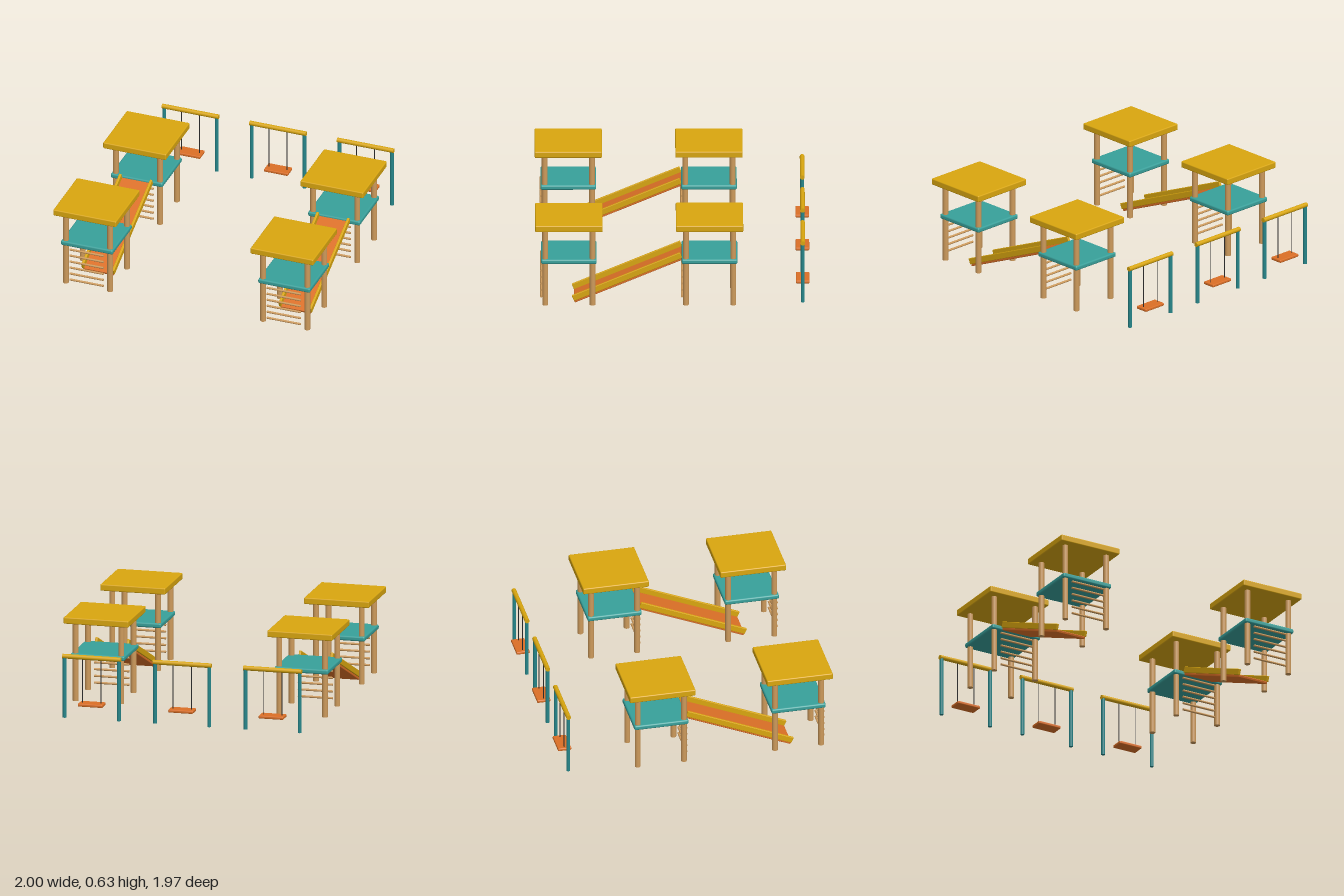
import * as THREE from 'three';
import { RoundedBoxGeometry } from 'three/addons/geometries/RoundedBoxGeometry.js';

const mat = (name, color) => {
  const m = new THREE.MeshStandardMaterial({ color });
  m.name = name;
  return m;
};

export function createModel() {
  const yellow = mat('yellow', 0xd9a60f);
  const teal = mat('teal', 0x38a09a);
  const frameTeal = mat('frame teal', 0x26868a);
  const orange = mat('orange', 0xdb6f26);
  const wood = mat('wood', 0xcd9a5b);
  const rope = mat('rope', 0x2b2b2b);

  const add = (parent, name, geometry, material, x, y, z) => {
    const mesh = new THREE.Mesh(geometry, material);
    mesh.name = name;
    mesh.position.set(x, y, z);
    parent.add(mesh);
    return mesh;
  };
  const box = (w, h, d, r) => new RoundedBoxGeometry(w, h, d, 3, r);
  const rod = (r, length) => new THREE.CylinderGeometry(r, r, length, 20);
  const group = (parent, name, x, y, z) => {
    const g = new THREE.Group();
    g.name = name;
    g.position.set(x, y, z);
    parent.add(g);
    return g;
  };

  const model = new THREE.Group();
  model.name = 'playground';

  // Tower: roof, deck, four posts and a ladder on the front
  const addTower = (x, z) => {
    const tower = group(model, 'tower', x, 0, z);
    add(tower, 'roof', box(0.484, 0.048, 0.484, 0.008), yellow, 0, 0.615, 0);
    add(tower, 'deck', box(0.4, 0.036, 0.4, 0.012), teal, 0, 0.347, 0);
    for (const px of [-0.17, 0.17]) {
      for (const pz of [-0.17, 0.17]) {
        add(tower, 'post', rod(0.021, 0.59), wood, px, 0.305, pz);
      }
    }
    for (let i = 0; i < 6; i++) {
      const rung = add(tower, 'ladderRung', rod(0.008, 0.26), wood, 0, 0.057 + i * 0.05, 0.198);
      rung.rotation.z = Math.PI / 2;
    }
  };

  // Slide: tilted bed with a rail along each side
  const addSlide = (x) => {
    const slide = group(model, 'slide', x, 0.179, 0.315);
    slide.rotation.x = THREE.MathUtils.degToRad(23);
    add(slide, 'slideBed', box(0.235, 0.02, 0.844, 0.005), orange, 0, 0, 0);
    for (const side of [-1, 1]) {
      add(slide, 'slideRail', box(0.018, 0.044, 0.844, 0.004), yellow, side * 0.118, 0.029, 0);
    }
  };

  // Swing: two posts, top beam, ropes and seat
  const addSwing = (x) => {
    const swing = group(model, 'swing', x, 0, -0.937);
    add(swing, 'beam', rod(0.017, 0.434), yellow, 0, 0.463, 0).rotation.z = Math.PI / 2;
    add(swing, 'seat', box(0.184, 0.022, 0.098, 0.007), orange, 0, 0.119, 0);
    for (const side of [-1, 1]) {
      add(swing, 'swingPost', rod(0.014, 0.453), frameTeal, side * 0.202, 0.2365, 0);
      add(swing, 'swingRope', rod(0.003, 0.335), rope, side * 0.069, 0.2925, 0);
    }
  };

  for (const side of [-1, 1]) {
    addTower(side * 0.758, 0.744);
    addTower(side * 0.758, -0.267);
    addSlide(side * 0.758);
  }
  for (const x of [-0.673, 0, 0.673]) addSwing(x);

  return model;
}
